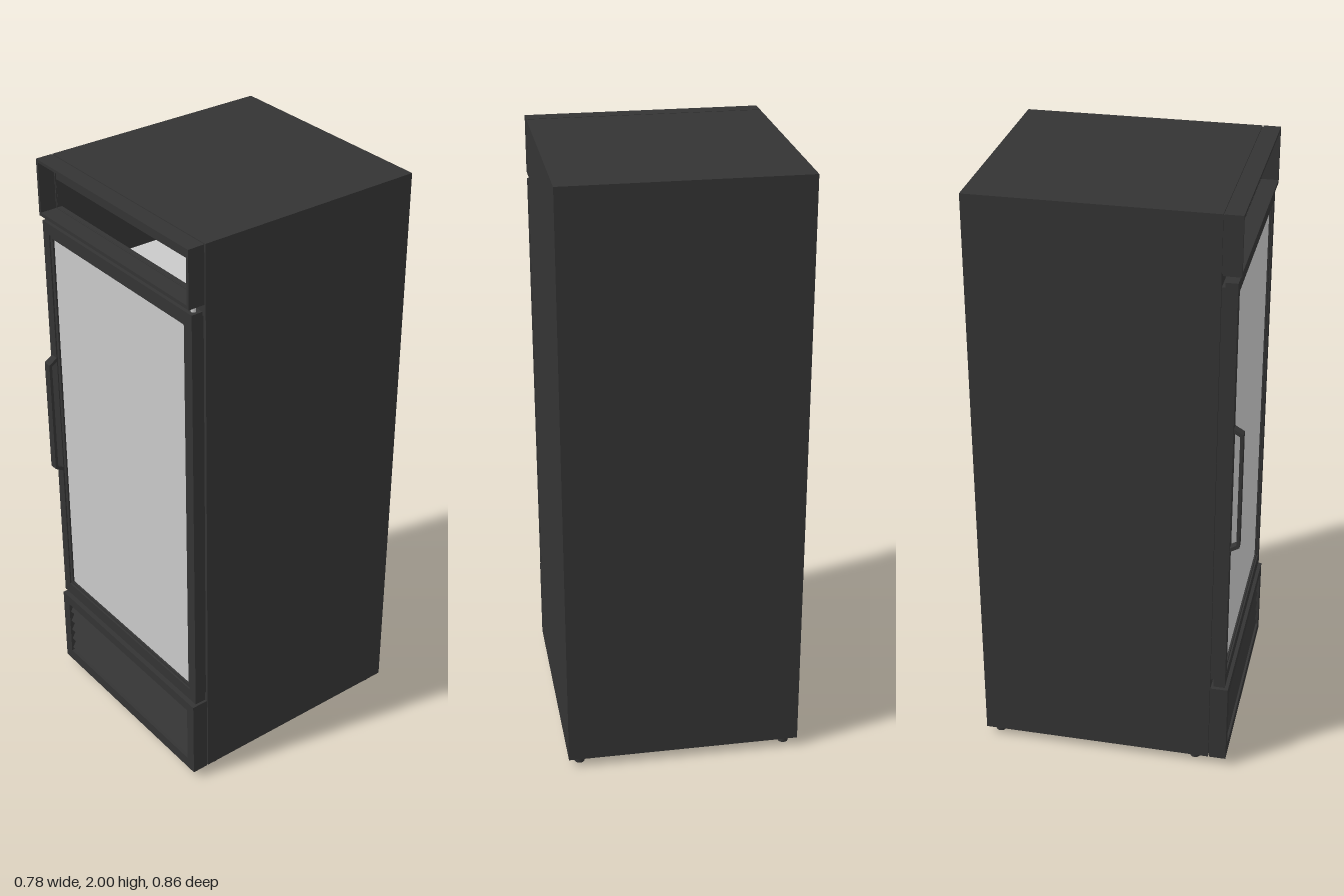
import * as THREE from 'three';

export function createModel() {
  const root = new THREE.Group();
  const dark = new THREE.MeshStandardMaterial({ color: 0x343434 });
  dark.name = 'charcoal';
  const light = new THREE.MeshStandardMaterial({ color: 0xc9c9c9 });
  light.name = 'light grey';

  const add = (name, geometry, material, parent = root) => {
    const mesh = new THREE.Mesh(geometry, material);
    mesh.name = name;
    parent.add(mesh);
    return mesh;
  };
  const group = (name) => {
    const g = new THREE.Group();
    g.name = name;
    root.add(g);
    return g;
  };
  // Box given by its limits on each axis
  const box = (name, x0, x1, y0, y1, z0, z1, material = dark, parent = root) => {
    const mesh = add(name, new THREE.BoxGeometry(x1 - x0, y1 - y0, z1 - z0), material, parent);
    mesh.position.set((x0 + x1) / 2, (y0 + y1) / 2, (z0 + z1) / 2);
    return mesh;
  };
  // Rectangular frame, symmetric in x, with an opening
  const frame = (name, w, y0, y1, hw, hy0, hy1, z0, z1, parent = root) => {
    const rect = (path, a, b, c) => path.moveTo(-a, b).lineTo(a, b).lineTo(a, c).lineTo(-a, c).closePath();
    const shape = rect(new THREE.Shape(), w, y0, y1);
    shape.holes.push(rect(new THREE.Path(), hw, hy0, hy1));
    const geo = new THREE.ExtrudeGeometry(shape, { depth: z1 - z0, bevelEnabled: false });
    geo.translate(0, 0, z0);
    return add(name, geo, dark, parent);
  };

  // Hollow cabinet
  const cabinet = group('cabinet');
  for (const s of [-1, 1]) {
    box('sideWall', Math.min(s * 0.39, s * 0.375), Math.max(s * 0.39, s * 0.375), 0.03, 2, -0.43, 0.35, dark, cabinet);
  }
  box('backWall', -0.375, 0.375, 0.03, 2, -0.43, -0.415, dark, cabinet);
  box('roof', -0.375, 0.375, 1.985, 2, -0.415, 0.35, dark, cabinet);
  box('floor', -0.375, 0.375, 0.03, 0.045, -0.415, 0.35, dark, cabinet);
  box('upperRim', -0.375, 0.375, 1.92, 1.985, 0.335, 0.35, dark, cabinet);
  box('middleRim', -0.375, 0.375, 1.74, 1.825, 0.335, 0.35, dark, cabinet);
  box('lowerRim', -0.375, 0.375, 0.045, 0.39, 0.335, 0.35, dark, cabinet);
  box('linerCeiling', -0.375, 0.375, 1.592, 1.6, -0.415, 0.33, light, cabinet);

  // Open header above the door
  frame('header', 0.39, 1.81, 2, 0.38, 1.822, 1.99, 0.354, 0.41);
  frame('headerSeal', 0.384, 1.814, 1.996, 0.376, 1.824, 1.986, 0.35, 0.354);

  // Glazed door
  const door = group('door');
  frame('doorFrame', 0.39, 0.33, 1.79, 0.357, 0.374, 1.752, 0.362, 0.4, door);
  frame('windowBead', 0.357, 0.374, 1.752, 0.345, 0.386, 1.74, 0.362, 0.395, door);
  frame('doorSeal', 0.38, 0.35, 1.77, 0.35, 0.38, 1.745, 0.35, 0.362, door);
  box('windowPane', -0.346, 0.346, 0.385, 1.741, 0.383, 0.389, light, door);

  // Door handle with slanted ends, drawn in the z-y plane
  const outline = (path, pts) => {
    pts.forEach(([z, y], i) => (i ? path.lineTo(z, y) : path.moveTo(z, y)));
    path.closePath();
    return path;
  };
  const grip = outline(new THREE.Shape(), [[0.4, 0.862], [0.43, 0.88], [0.43, 1.288], [0.4, 1.306]]);
  grip.holes.push(outline(new THREE.Path(), [[0.4001, 0.876], [0.42, 0.888], [0.42, 1.28], [0.4001, 1.292]]));
  const gripGeo = new THREE.ExtrudeGeometry(grip, { depth: 0.028, bevelEnabled: false });
  gripGeo.rotateY(-Math.PI / 2);
  add('handle', gripGeo, dark, door).position.x = -0.355;

  // Hinge pins
  for (const y of [0.325, 1.8]) {
    const pin = add('hingePin', new THREE.CylinderGeometry(0.008, 0.008, 0.022, 12), light, door);
    pin.position.set(0.372, y, 0.38);
  }

  // Lower ventilation grille
  const grille = group('grille');
  frame('grilleFrame', 0.39, 0.03, 0.32, 0.355, 0.07, 0.285, 0.354, 0.41, grille);
  box('grilleBack', -0.38, 0.38, 0.04, 0.31, 0.35, 0.37, dark, grille);
  for (let i = 0; i < 5; i++) {
    const slat = add('slat', new THREE.BoxGeometry(0.71, 0.034, 0.008), dark, grille);
    slat.position.set(0, 0.094 + i * 0.042, 0.393);
    slat.rotation.x = -0.5;
  }

  // Feet
  for (const x of [-0.35, 0.35]) {
    for (const z of [-0.39, 0.3]) {
      add('foot', new THREE.CylinderGeometry(0.017, 0.017, 0.032, 16), dark).position.set(x, 0.016, z);
    }
  }
  return root;
}
